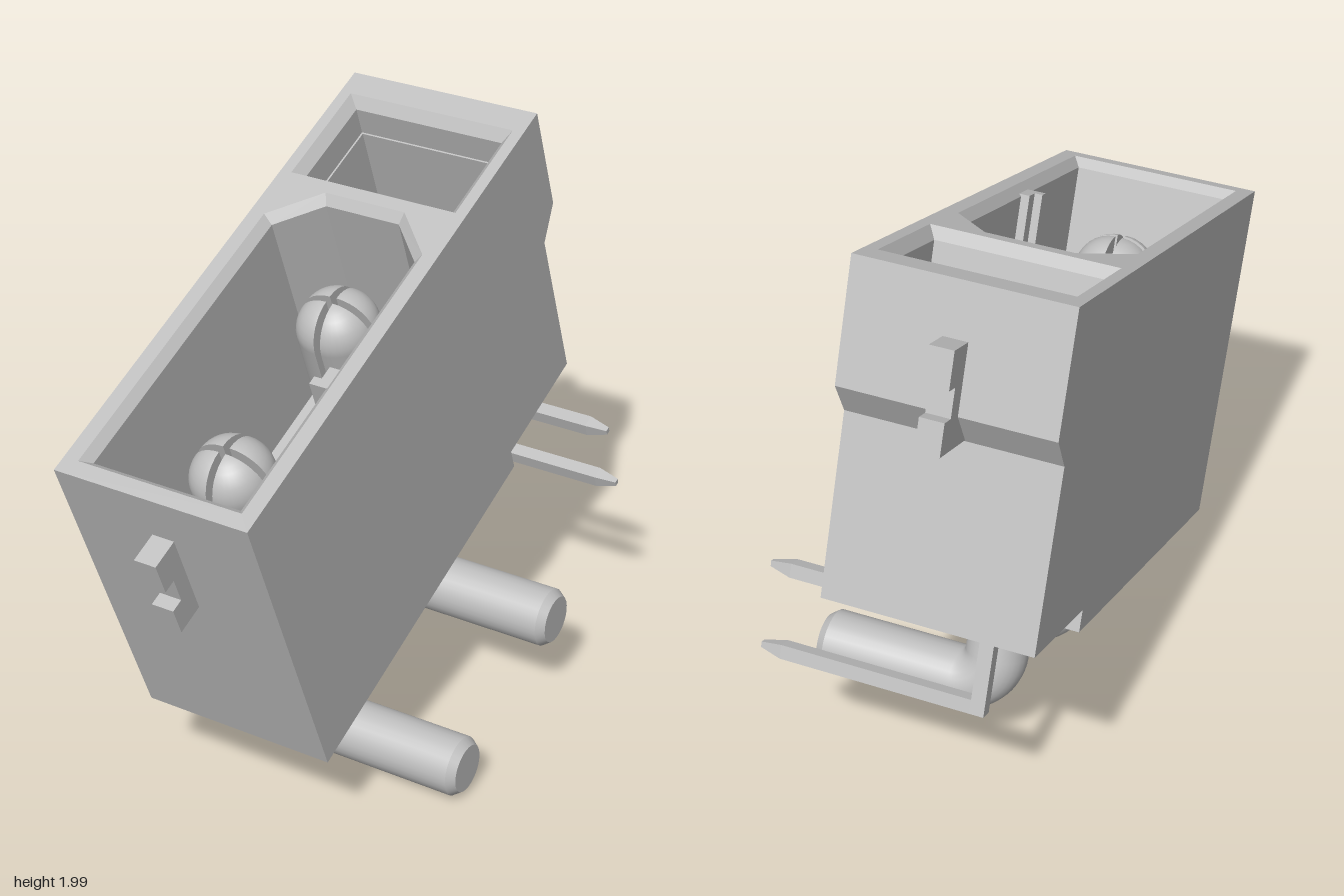
import * as THREE from 'three';
import { mergeGeometries } from 'three/addons/utils/BufferGeometryUtils.js';

const HALF = 0.33, LEN = 1.78, TOP = 1.122, FLOOR = 0.36;

// Local frame: x across, y up the housing, u runs backward from the front (z = -u).
const rect = (hx, u0, u1) => [[-hx, u0], [hx, u0], [hx, u1], [-hx, u1]];
const collapse = (ring) => {
  const n = ring.length;
  const cx = ring.reduce((s, p) => s + p[0], 0) / n;
  const cu = ring.reduce((s, p) => s + p[1], 0) / n;
  return ring.map(() => [cx, cu]);
};

// Joins rings [height, outline]; going up faces outward, going down faces inward.
function loft(levels) {
  const pos = [];
  for (let k = 0; k < levels.length - 1; k++) {
    const [ya, a] = levels[k], [yb, b] = levels[k + 1];
    for (let i = 0; i < a.length; i++) {
      const j = (i + 1) % a.length;
      const p = [a[i], a[j], b[j], b[i]].map((q, m) => [q[0], m < 2 ? ya : yb, -q[1]]);
      for (const m of [0, 1, 2, 0, 2, 3]) pos.push(...p[m]);
    }
  }
  const g = new THREE.BufferGeometry();
  g.setAttribute('position', new THREE.Float32BufferAttribute(pos, 3));
  g.computeVertexNormals();
  return g;
}

export function createModel() {
  const grey = new THREE.MeshStandardMaterial({ color: 0xbfbfbf, side: THREE.DoubleSide });
  grey.name = 'lightGrey';

  const connector = new THREE.Group();
  connector.name = 'connector';
  const add = (name, geo, x = 0, y = 0, z = 0, parent = connector) => {
    const m = new THREE.Mesh(geo, grey);
    m.name = name;
    m.position.set(x, y, z);
    parent.add(m);
    return m;
  };

  // Outer housing walls with the stepped underside and undercut back
  const foot = rect(HALF, 0, 1.27), mid = rect(HALF, 0, 1.689), full = rect(HALF, 0, LEN);
  add('housingWalls', loft([
    [0, collapse(foot)], [0, foot], [0.073, foot], [0.073, mid],
    [0.646, mid], [0.741, full], [TOP, full],
  ]));

  // Two cavities with bevelled rims
  const socket = (i) => [
    [-0.28 + i, 0.054 + i], [0.28 - i, 0.054 + i], [0.28 - i, 1.115 - i * 0.4],
    [0.14 - i * 0.4, 1.258 - i], [-0.14 + i * 0.4, 1.258 - i], [-0.28 + i, 1.115 - i * 0.4],
  ];
  const pocket = (i) => rect(0.292 - i, 1.305 + i, 1.687 - i);
  add('mainCavity', loft([
    [TOP, socket(0)], [TOP - 0.03, socket(0.027)],
    [FLOOR, socket(0.027)], [FLOOR, collapse(socket(0.027))],
  ]));
  add('rearPocket', loft([
    [TOP, pocket(0)], [TOP - 0.035, pocket(0.03)], [0.99, pocket(0.03)], [0.99, pocket(0.036)],
    [FLOOR, pocket(0.036)], [FLOOR, collapse(pocket(0.036))],
  ]));

  // Top rim around both openings
  const toPoints = (ring) => ring.map((p) => new THREE.Vector2(p[0], p[1]));
  const rim = new THREE.Shape(toPoints(full));
  for (const ring of [socket(0), pocket(0)]) rim.holes.push(new THREE.Path(toPoints(ring)));
  add('topRim', new THREE.ShapeGeometry(rim).rotateX(-Math.PI / 2), 0, TOP, 0);

  // Keying rib on the cavity side wall
  add('keyRib', new THREE.BoxGeometry(0.035, 1.1 - FLOOR, 0.075), 0.243, (1.1 + FLOOR) / 2, -0.6);
  add('keyRibLip', new THREE.BoxGeometry(0.06, 1.1 - FLOOR, 0.03), 0.23, (1.1 + FLOOR) / 2, -0.575);

  // Notched clips on the front and back walls
  const clip = (embed) => {
    const s = new THREE.Shape([
      [-embed, 0.65], [0.1, 0.65], [0.1, 0.75], [0.055, 0.75],
      [0.055, 0.84], [0.1, 0.84], [0.1, 0.955], [-embed, 0.955],
    ].map((p) => new THREE.Vector2(...p)));
    return new THREE.ExtrudeGeometry(s, { depth: 0.075, bevelEnabled: false }).translate(0, 0, -0.0375);
  };
  add('frontClip', clip(0.04).rotateY(-Math.PI / 2));
  add('backClip', clip(0.09).rotateY(Math.PI / 2), 0, 0, -LEN);

  // Large bent power pins with split domed heads
  const R = 0.115, r = 0.1, DROP = -0.376;
  const headR = 0.117, domeY = 0.845;
  const profile = [new THREE.Vector2(headR, FLOOR)];
  for (let i = 0; i <= 8; i++) {
    const a = (i / 8) * Math.PI / 2;
    profile.push(new THREE.Vector2(headR * Math.cos(a), domeY + headR * Math.sin(a)));
  }
  const section = new THREE.ShapeGeometry(new THREE.Shape([new THREE.Vector2(0, FLOOR), ...profile]));
  const prong = mergeGeometries([
    new THREE.LatheGeometry(profile, 8, 0, Math.PI / 2),
    section.clone(),
    section.clone().rotateY(-Math.PI / 2),
  ]).translate(0.0115, 0, 0.0115);
  const tip = [[r, R], [r, 0.545], [0.08, 0.572], [0, 0.572]].map((p) => new THREE.Vector2(...p));
  const tail = mergeGeometries([
    new THREE.LatheGeometry(tip.slice(0, 2), 28),
    new THREE.LatheGeometry(tip.slice(1, 3), 28),
    new THREE.LatheGeometry(tip.slice(2), 28),
  ]).rotateZ(-Math.PI / 2);
  const stemLen = 0.2 - DROP - R;
  for (const u of [0.345, 0.985]) {
    const pin = new THREE.Group();
    pin.name = 'powerPin';
    pin.position.z = -u;
    connector.add(pin);
    add('pinStem', new THREE.CylinderGeometry(r, r, stemLen, 28, 1, true), 0, 0.2 - stemLen / 2, 0, pin);
    add('pinBend', new THREE.TorusGeometry(R, r, 28, 14, Math.PI / 2).rotateZ(Math.PI), R, DROP + R, 0, pin);
    add('pinTail', tail, 0, DROP, 0, pin);
    for (let k = 0; k < 4; k++) add('pinHeadProng', prong, 0, 0, 0, pin).rotation.y = k * Math.PI / 2;
  }

  // Thin square signal leads: upright contact plus sideways tail
  const S = 0.045, TAPER = 0.07;
  const bar = (len) => mergeGeometries([
    new THREE.BoxGeometry(S, len - TAPER, S).translate(0, (len - TAPER) / 2, 0),
    new THREE.CylinderGeometry(S * 0.28, S * Math.SQRT1_2, TAPER, 4, 1).toNonIndexed()
      .rotateY(Math.PI / 4).translate(0, len - TAPER / 2, 0),
  ].map((g) => {
    const f = g.index ? g.toNonIndexed() : g;
    f.computeVertexNormals();
    return f;
  }));
  for (const [x, y] of [[0.127, 0.046], [-0.127, -0.218]]) {
    add('signalContact', bar(0.83 - y + S / 2), x, y - S / 2, -1.482);
    add('signalTail', bar(0.58 - x).rotateZ(-Math.PI / 2), x, y, -1.482);
  }

  // The whole connector rests tilted back with a very slight roll
  connector.rotation.set(0.3377, 0, 0.019, 'ZYX');
  connector.position.set(-0.114, 0.35, 0.58);
  const model = new THREE.Group();
  model.name = 'tiltedConnector';
  model.add(connector);
  return model;
}
